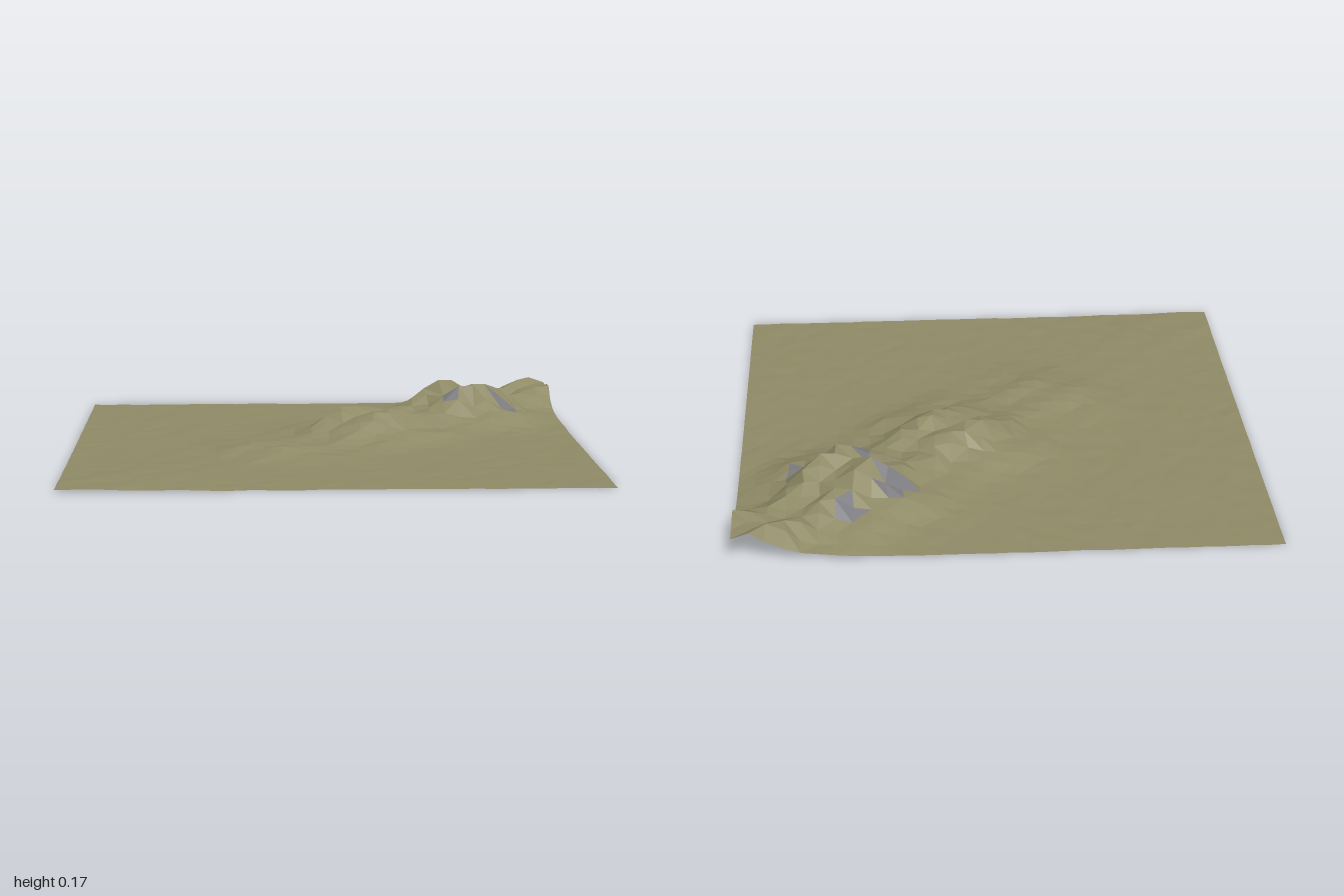
import * as THREE from 'three';

const CELLS = 32;
const SIZE = 2;

// Crest height along the diagonal ridge: [distance along ridge, height]
const CREST = [
  [-1.5, 0.008], [-0.95, 0.008], [-0.6, 0.003], [-0.34, 0.036], [-0.12, 0.022],
  [0.22, 0.118], [0.5, 0.07], [0.78, 0.163], [1.1, 0.078], [1.34, 0.115], [1.5, 0.113],
];

// Steep rocky spots: [x, z, radius]
const ROCKS = [[0.41, -0.61, 0.06], [0.58, -0.77, 0.045], [0.77, -0.46, 0.06], [0.53, -0.43, 0.04]];

// Repeatable value in -1..1 for a grid point
function jitter(i, j, seed) {
  const s = Math.sin(i * 127.1 + j * 311.7 + seed * 74.7) * 43758.5453;
  return (s - Math.floor(s)) * 2 - 1;
}

function crestHeight(u) {
  for (let k = 1; k < CREST.length; k++) {
    const [u0, h0] = CREST[k - 1];
    const [u1, h1] = CREST[k];
    if (u <= u1) return THREE.MathUtils.lerp(h0, h1, THREE.MathUtils.smoothstep(u, u0, u1));
  }
  return CREST[CREST.length - 1][1];
}

// Twin parallel crests with broken flanks, fading into a nearly flat plain
function heightAt(x, z, i, j) {
  const u = (x - z) * Math.SQRT1_2;
  const v = (x + z) * Math.SQRT1_2 - 0.02 + 0.015 * Math.sin(u * 13);
  const width = 0.24 - 0.05 * THREE.MathUtils.smoothstep(u, 0.95, 1.2);
  const envelope = Math.exp(-((v / width) ** 2)) / 0.855;
  const folds = 0.82 - 0.18 * Math.cos((v / 0.19) * Math.PI * 2);
  const hill = crestHeight(u) * envelope * folds;
  return Math.max(0, hill * (1 + 0.09 * jitter(i, j, 1)) + 0.0015 + 0.0015 * jitter(i, j, 2));
}

export function createModel() {
  const group = new THREE.Group();
  group.name = 'terrain';

  // Grid points, nudged sideways inside the border
  const step = SIZE / CELLS;
  const points = [];
  for (let j = 0; j <= CELLS; j++) {
    for (let i = 0; i <= CELLS; i++) {
      const inX = i > 0 && i < CELLS;
      const inZ = j > 0 && j < CELLS;
      const x = -1 + i * step + (inX ? 0.12 * step * jitter(i, j, 3) : 0);
      const z = -1 + j * step + (inZ ? 0.12 * step * jitter(i, j, 4) : 0);
      points.push(new THREE.Vector3(x, heightAt(x, z, i, j), z));
    }
  }

  // Sort facets into grass and rock
  const facets = { grass: [], rock: [] };
  const addFacet = (a, b, c) => {
    const x = (a.x + b.x + c.x) / 3;
    const z = (a.z + b.z + c.z) / 3;
    const isRock = ROCKS.some(([rx, rz, r]) => Math.hypot(x - rx, z - rz) < r);
    facets[isRock ? 'rock' : 'grass'].push(a, b, c);
  };
  for (let j = 0; j < CELLS; j++) {
    for (let i = 0; i < CELLS; i++) {
      const k = j * (CELLS + 1) + i;
      const [a, b] = [points[k], points[k + 1]];
      const [c, d] = [points[k + CELLS + 1], points[k + CELLS + 2]];
      if (jitter(i, j, 5) > 0) {
        addFacet(a, c, b);
        addFacet(b, c, d);
      } else {
        addFacet(a, c, d);
        addFacet(a, d, b);
      }
    }
  }

  // One open, faceted sheet per ground type
  const addSheet = (name, corners, color) => {
    const geometry = new THREE.BufferGeometry().setFromPoints(corners);
    geometry.computeVertexNormals();
    const material = new THREE.MeshStandardMaterial({ color, flatShading: true, side: THREE.DoubleSide });
    const mesh = new THREE.Mesh(geometry, material);
    mesh.name = name;
    group.add(mesh);
  };
  addSheet('grassyGround', facets.grass, 0x8f8a66);
  addSheet('rockFaces', facets.rock, 0x7b7b80);

  return group;
}
